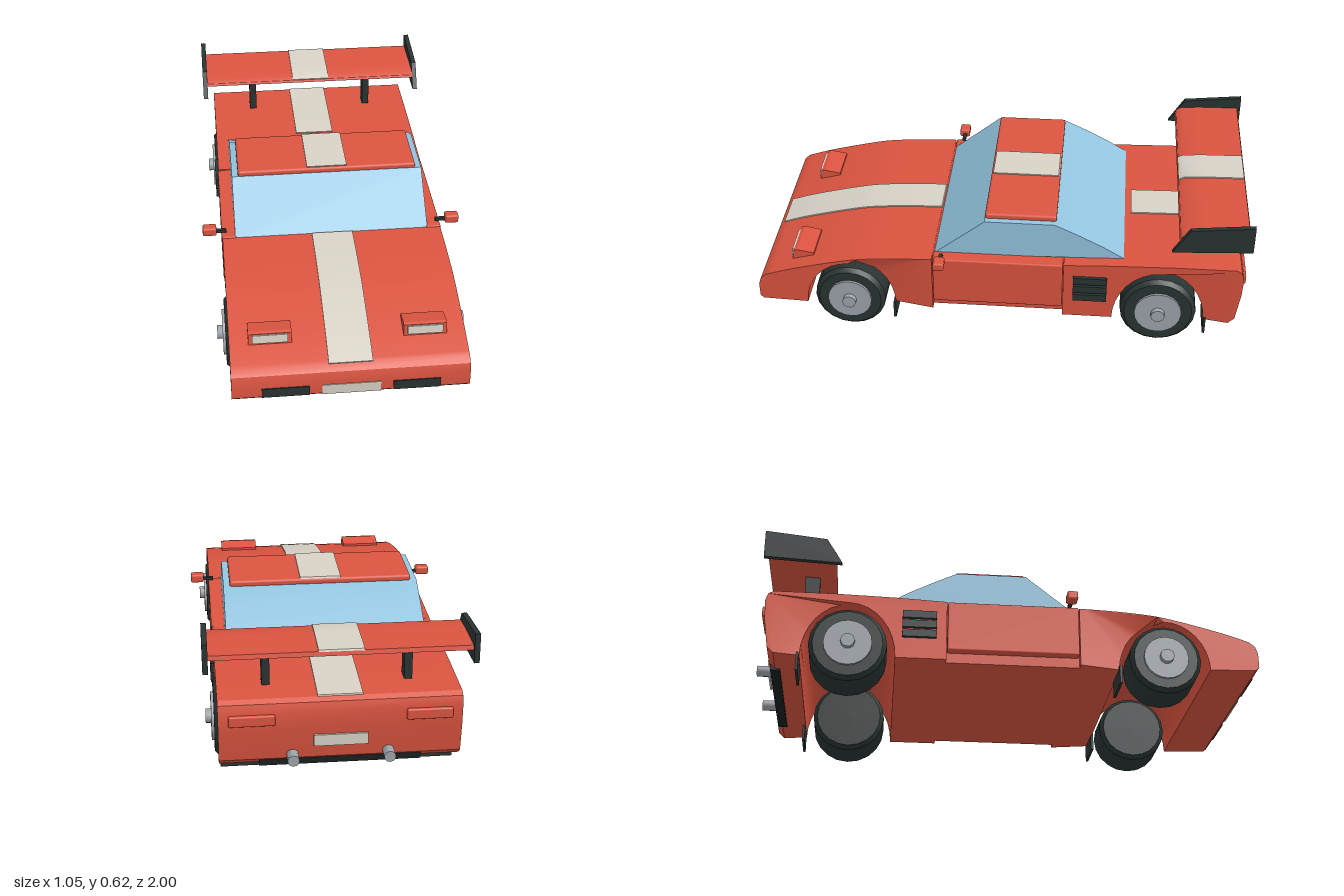
import * as THREE from 'three';
import { toCreasedNormals } from 'three/addons/utils/BufferGeometryUtils.js';
import { RoundedBoxGeometry } from 'three/addons/geometries/RoundedBoxGeometry.js';

const mat = (name, color) => {
  const m = new THREE.MeshStandardMaterial({ color });
  m.name = name;
  return m;
};

export function createModel() {
  const red = mat('body red', 0xdb5440);
  const cream = mat('stripe cream', 0xd8d2c6);
  const glass = mat('window blue', 0x93c4df);
  const dark = mat('trim dark', 0x2a3433);
  const black = mat('bumper black', 0x1a1f20);
  const silver = mat('metal grey', 0x9fa5ac);
  const car = new THREE.Group();
  car.name = 'sportsCar';

  const add = (name, geo, material, x = 0, y = 0, z = 0) => {
    const mesh = new THREE.Mesh(geo, material);
    mesh.name = name;
    mesh.position.set(x, y, z);
    car.add(mesh);
    return mesh;
  };
  // Box given by its limits on each axis
  const box = (name, material, [x0, x1], [y0, y1], [z0, z1], round = 0) => {
    const s = [x1 - x0, y1 - y0, z1 - z0];
    const geo = round ? new RoundedBoxGeometry(...s, 2, round) : new THREE.BoxGeometry(...s);
    return add(name, geo, material, (x0 + x1) / 2, (y0 + y1) / 2, (z0 + z1) / 2);
  };
  // Side profile of [z, y] points, extruded across x
  const profile = (pts, width, rule) => {
    const shape = new THREE.Shape(pts.map(p => new THREE.Vector2(p[0], p[1])));
    const geo = new THREE.ExtrudeGeometry(shape, { depth: width, bevelEnabled: false });
    geo.translate(0, 0, -width / 2).rotateY(-Math.PI / 2);
    if (rule) {
      const p = geo.attributes.position;
      for (let i = 0; i < p.count; i++) {
        p.setX(i, Math.sign(p.getX(i)) * rule(p.getZ(i), p.getY(i)));
      }
    }
    return toCreasedNormals(geo, 0.45);
  };
  const smooth = (pts, n) => new THREE.SplineCurve(pts.map(p => new THREE.Vector2(...p)))
    .getPoints(n).map(v => [v.x, v.y]);
  // Wheel arch from front to back
  const arch = (z, rx, ry) => Array.from({ length: 17 }, (_, i) => {
    const a = Math.PI * i / 16;
    return [z + rx * Math.cos(a), 0.105 + ry * Math.sin(a)];
  });
  // Thin painted band lying on a profile curve
  const stripe = (name, pts) => add(name, profile([
    ...pts.map(([z, y]) => [z + 0.002, y + 0.005]),
    ...pts.slice().reverse().map(([z, y]) => [z - 0.001, y - 0.002]),
  ], 0.166), cream);

  // Body shell: nose, cabin floor, tail
  const hood = smooth([[0.28, 0.353], [0.42, 0.348], [0.57, 0.336], [0.68, 0.315],
    [0.85, 0.272], [0.965, 0.235]], 20);
  const frontArch = arch(0.62, 0.18, 0.205);
  const rearArch = arch(-0.635, 0.185, 0.23);
  const onArch = (list, z, y) => list.some(p => Math.hypot(p[0] - z, p[1] - y) < 0.001);
  add('frontBody', profile([
    ...hood, [0.988, 0.215], [0.998, 0.185], [0.998, 0.125], [0.985, 0.112],
    ...frontArch, [0.28, 0.105],
  ], 0.894, (z, y) => (z < 0.6 && onArch(frontArch, z, y) ? 0.415 : 0.447)), red);
  add('cabinBase', profile([[0.285, 0.105], [0.285, 0.35], [-0.26, 0.353], [-0.26, 0.105]], 0.83), red);
  const deck = [[-0.25, 0.357], [-0.45, 0.366], [-0.7, 0.372], [-0.935, 0.372]];
  add('rearBody', profile([
    [-0.25, 0.105], ...rearArch, [-0.92, 0.105], [-0.945, 0.13], [-0.962, 0.25],
    [-0.965, 0.33], [-0.955, 0.36], ...deck.slice().reverse(),
  ], 0.894, (z, y) => (z < -0.65 && onArch(rearArch, z, y) ? 0.43 : 0.447)), red);

  // Cabin glass and roof
  add('cabinGlass', profile([[0.28, 0.345], [0.07, 0.515], [-0.21, 0.515], [-0.3, 0.472],
    [-0.4, 0.42], [-0.49, 0.366]], 0.79), glass);
  box('roof', red, [-0.37, 0.37], [0.508, 0.536], [-0.215, 0.07], 0.01);

  // Stripes
  stripe('hoodStripe', hood);
  stripe('deckStripe', [[-0.515, 0.368], [-0.7, 0.372], [-0.935, 0.372]]);
  stripe('roofStripe', [[0.06, 0.536], [-0.21, 0.536]]);
  const wingTop = [[-0.7, 0.545], [-0.72, 0.556], [-0.8, 0.562], [-0.965, 0.565]];
  stripe('wingStripe', wingTop);

  // Rear wing
  add('wing', profile([...wingTop, [-0.97, 0.548], [-0.8, 0.53], [-0.71, 0.527], [-0.695, 0.535]], 0.95), red);

  // Nose and tail fittings
  box('frontPlate', cream, [-0.11, 0.11], [0.122, 0.165], [0.993, 1.001]);
  box('rearPlate', cream, [-0.1, 0.1], [0.185, 0.23], [-0.967, -0.959]);
  box('rearSkirt', black, [-0.3, 0.3], [0.098, 0.125], [-0.938, -0.9]);

  for (const s of [-1, 1]) {
    const side = (a, b) => (s > 0 ? [a, b] : [-b, -a]);

    // Wing end plate and support
    add('wingEndPlate', profile([[-0.67, 0.485], [-0.735, 0.59], [-0.98, 0.615], [-0.98, 0.5]], 0.02),
      dark, s * 0.485);
    box('wingSupport', dark, side(0.25, 0.28), [0.36, 0.54], [-0.825, -0.765]);

    // Door and side vents
    box('door', red, side(0.39, 0.45), [0.147, 0.356], [-0.247, 0.277], 0.006);
    for (let i = 0; i < 3; i++) {
      const y = 0.193 + i * 0.041;
      box('sideVent', dark, side(0.44, 0.461), [y, y + 0.031], [-0.425, -0.29]);
    }

    // Mirror
    box('mirrorArm', dark, side(0.43, 0.48), [0.362, 0.374], [0.235, 0.25]);
    box('mirror', red, side(0.47, 0.526), [0.356, 0.392], [0.222, 0.265], 0.008);

    // Headlight pod and lamp
    add('headlightPod', profile([[0.868, 0.255], [0.858, 0.31], [0.845, 0.314], [0.775, 0.302],
      [0.775, 0.27]], 0.164), red, s * 0.293);
    const lamp = box('headlight', cream, side(0.226, 0.36), [0.275, 0.308], [0.86, 0.869]);
    lamp.rotation.x = -0.18;

    // Front intake, tail light, exhaust
    box('frontIntake', dark, side(0.157, 0.335), [0.124, 0.164], [0.994, 1.002]);
    box('tailLight', red, side(0.24, 0.41), [0.28, 0.322], [-0.977, -0.95], 0.006);
    const pipe = new THREE.CylinderGeometry(0.022, 0.022, 0.08, 12).rotateX(Math.PI / 2);
    add('exhaust', toCreasedNormals(pipe, 0.6), silver, s * 0.177, 0.145, -0.96);

    // Wheels with mud flaps
    for (const [z, r, flapZ] of [[0.62, 0.144, 0.441], [-0.635, 0.153, -0.827]]) {
      const c = 0.016, w = 0.09;
      const tread = [[0, -w], [r - c, -w], [r, c - w], [r, w - c], [r - c, w], [0, w]];
      const tyre = new THREE.LatheGeometry(tread.map(p => new THREE.Vector2(...p)), 20).rotateZ(-Math.PI / 2);
      add('tyre', toCreasedNormals(tyre, 0.35), dark, s * 0.367, r, z);
      for (const [name, radius, end, n] of [['rim', r * 0.62, 0.467, 20], ['hub', 0.028, 0.488, 10]]) {
        const disc = new THREE.CylinderGeometry(radius, radius, 0.04, n).rotateZ(Math.PI / 2);
        add(name, toCreasedNormals(disc, 0.7), silver, s * (end - 0.02), r, z);
      }
      box('mudFlap', dark, side(0.285, 0.44), [0.04, 0.115], [flapZ - 0.005, flapZ + 0.005]);
    }
  }
  return car;
}
